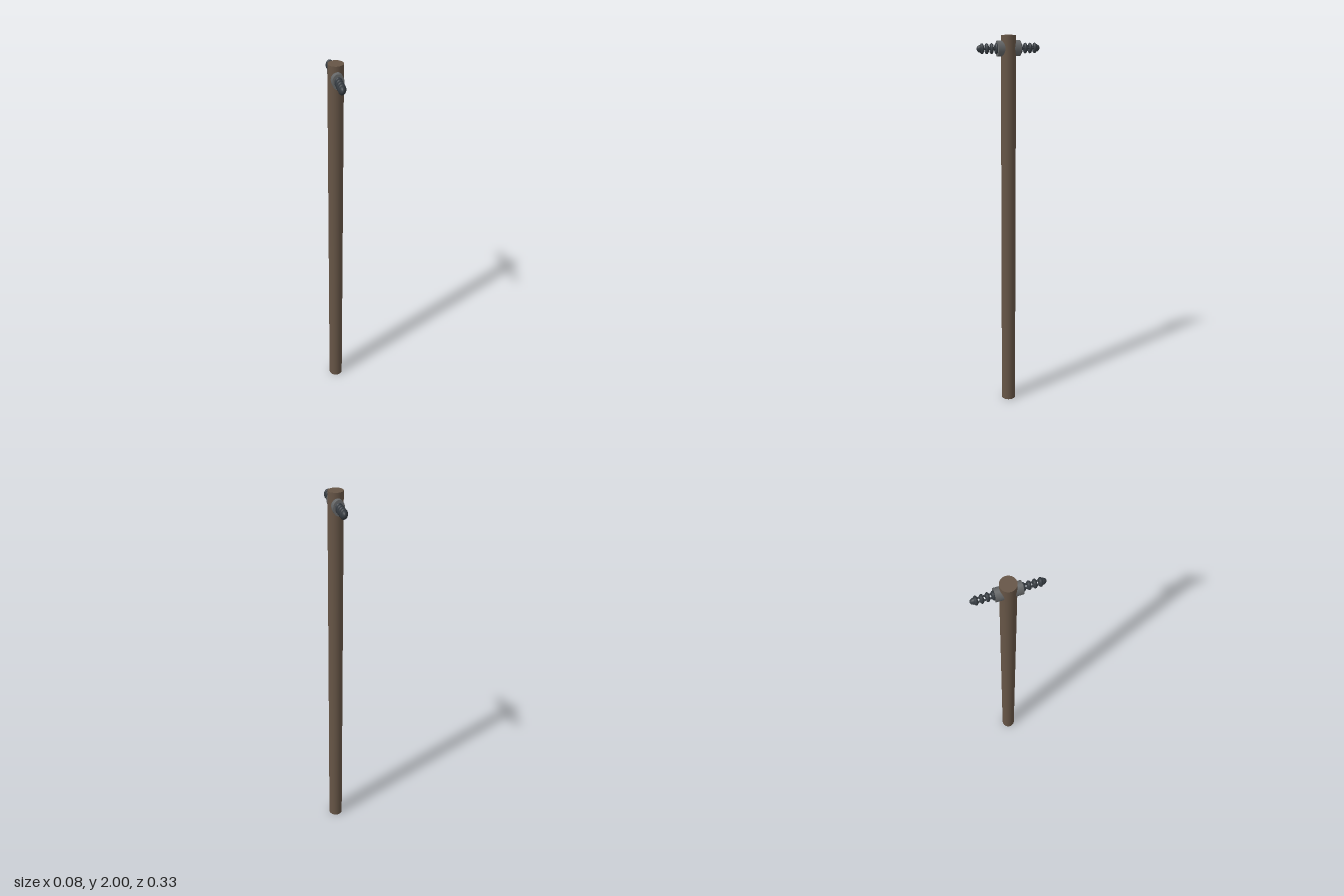
import * as THREE from 'three';

export function createModel() {
  const wood = new THREE.MeshStandardMaterial({ color: 0x665546 });
  wood.name = 'brownWood';
  const metal = new THREE.MeshStandardMaterial({ color: 0x666869 });
  metal.name = 'greyMetal';
  const plastic = new THREE.MeshStandardMaterial({ color: 0x363c42 });
  plastic.name = 'darkPlastic';

  const model = new THREE.Group();
  model.name = 'fencePost';

  function add(parent, name, geometry, material, x = 0, y = 0, z = 0) {
    const mesh = new THREE.Mesh(geometry, material);
    mesh.name = name;
    mesh.position.set(x, y, z);
    parent.add(mesh);
    return mesh;
  }

  // Round pole
  add(model, 'pole', new THREE.CylinderGeometry(0.0375, 0.0375, 2, 32), wood, 0, 1, 0);

  // Collar geometry lies along z
  const collarGeometry = new THREE.CylinderGeometry(0.028, 0.028, 0.06, 32).rotateX(Math.PI / 2);
  const ribGeometry = new THREE.TorusGeometry(0.011, 0.008, 12, 32);
  const rodGeometry = new THREE.CylinderGeometry(0.004, 0.004, 0.09, 12).rotateX(Math.PI / 2);

  // Rounded tip, closed at its base
  const tipPoints = [new THREE.Vector2(0, 0)];
  for (let i = 0; i <= 8; i++) {
    const a = (i / 8) * Math.PI / 2;
    tipPoints.push(new THREE.Vector2(i === 8 ? 0 : 0.0145 * Math.cos(a), 0.025 * Math.sin(a)));
  }
  const tipGeometry = new THREE.LatheGeometry(tipPoints, 32).rotateX(Math.PI / 2);

  // One insulator on the front, the other turned to the back
  for (const [name, turn] of [['frontInsulator', 0], ['backInsulator', Math.PI]]) {
    const insulator = new THREE.Group();
    insulator.name = name;
    insulator.position.y = 1.936;
    insulator.rotation.y = turn;
    insulator.scale.y = 1.37;
    add(insulator, 'collar', collarGeometry, metal, 0, 0, 0.03);
    for (let i = 0; i < 4; i++) add(insulator, 'rib', ribGeometry, plastic, 0, 0, 0.0635 + i * 0.025);
    for (const side of [-1, 1]) add(insulator, 'rod', rodGeometry, plastic, side * 0.009, 0, 0.1);
    add(insulator, 'tip', tipGeometry, plastic, 0, 0, 0.14);
    model.add(insulator);
  }

  return model;
}
